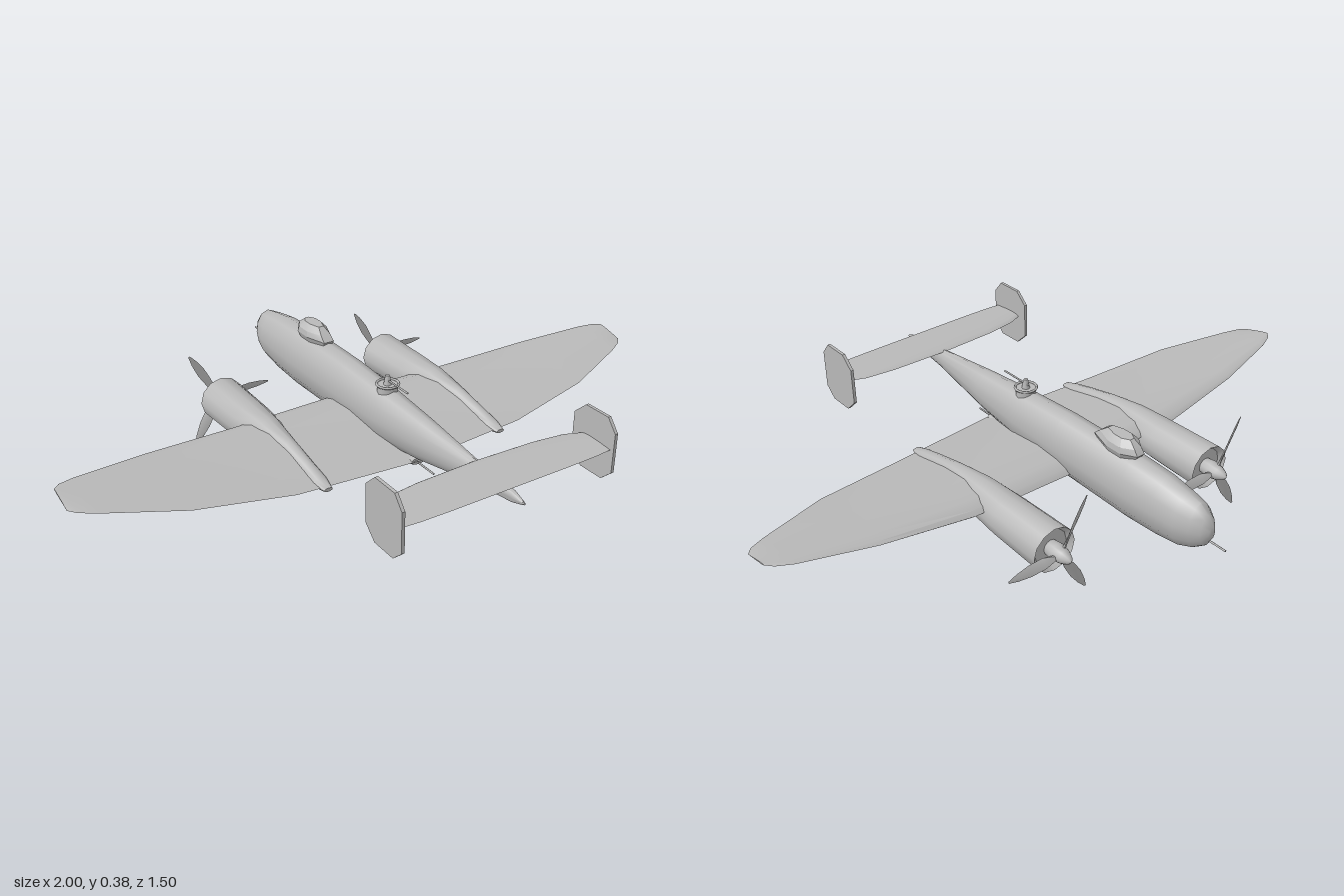
import * as THREE from 'three';
import { toCreasedNormals } from 'three/addons/utils/BufferGeometryUtils.js';

const grey = new THREE.MeshStandardMaterial({ color: 0xb8b8b8 });
grey.name = 'plain grey';

function part(name, geometry, parent, x = 0, y = 0, z = 0) {
  const mesh = new THREE.Mesh(geometry, grey);
  mesh.name = name;
  mesh.position.set(x, y, z);
  parent.add(mesh);
  return mesh;
}

// Skin a list of equal-length rings of [x, y, z] points and cap both ends
function loft(rings, crease = 0.7) {
  const n = rings[0].length, pos = rings.flat(2), idx = [];
  for (let i = 0; i < rings.length - 1; i++) {
    for (let j = 0; j < n; j++) {
      const a = i * n + j, b = i * n + (j + 1) % n;
      idx.push(a, b, b + n, a, b + n, a + n);
    }
  }
  [0, rings.length - 1].forEach((r, end) => {
    const c = pos.length / 3;
    for (let k = 0; k < 3; k++) pos.push(rings[r].reduce((s, p) => s + p[k], 0) / n);
    for (let j = 0; j < n; j++) {
      const a = r * n + j, b = r * n + (j + 1) % n;
      idx.push(...(end ? [a, b, c] : [b, a, c]));
    }
  });
  // Turn the faces outward by the sign of the enclosed volume
  const at = i => new THREE.Vector3().fromArray(pos, i * 3);
  let volume = 0;
  for (let i = 0; i < idx.length; i += 3) volume += at(idx[i]).dot(at(idx[i + 1]).cross(at(idx[i + 2])));
  if (volume < 0) idx.reverse();
  const g = new THREE.BufferGeometry();
  g.setAttribute('position', new THREE.Float32BufferAttribute(pos, 3));
  g.setIndex(idx);
  return toCreasedNormals(g, crease);
}

// Body along z from rows of [z, centre y, half height, half width]
function body(rows, sides) {
  return loft(rows.map(([z, y, h, w]) => Array.from({ length: sides }, (_, j) => {
    const a = j / sides * Math.PI * 2;
    return [Math.sin(a) * w, y + Math.cos(a) * h, z];
  })), 0.85);
}

// Wing section: chord fraction and share of the upper or lower thickness
const foil = [[0, 0], [0.03, 0.4], [0.12, 0.78], [0.33, 1], [0.6, 0.72], [0.82, 0.33],
  [1, 0], [0.8, -0.3], [0.5, -0.75], [0.2, -1], [0.04, -0.5]];

// Wing from half-span rows of [x, leading z, trailing z, y, rise, drop]
function wing(rows, tilt) {
  const mirrored = rows.slice(1).reverse().map(([x, ...rest]) => [-x, ...rest]);
  return loft([...mirrored, ...rows].map(([x, lead, trail, y, up, down]) => foil.map(([t, s]) =>
    [x, y - (t - 0.5) * tilt + s * (s > 0 ? up : down), lead + (trail - lead) * t])), 0.6);
}

function barrel(name, parent, x, y, z, length, radius = 0.003) {
  part(name, new THREE.CylinderGeometry(radius, radius, length, 6), parent, x, y, z).rotation.x = Math.PI / 2;
}

export function createModel() {
  const model = new THREE.Group();
  model.name = 'twinEngineAircraft';

  part('fuselage', body([
    [-0.697, 0.235, 0.02, 0.012], [-0.68, 0.235, 0.05, 0.03], [-0.65, 0.236, 0.074, 0.047],
    [-0.6, 0.231, 0.089, 0.058], [-0.52, 0.233, 0.1, 0.065], [-0.4, 0.233, 0.106, 0.068],
    [-0.1, 0.236, 0.103, 0.066], [0.1, 0.236, 0.092, 0.06], [0.3, 0.242, 0.07, 0.046],
    [0.54, 0.254, 0.035, 0.02], [0.7, 0.26, 0.018, 0.012], [0.74, 0.26, 0.006, 0.004],
  ], 12), model);

  part('mainWing', wing([
    [0, -0.175, 0.275, 0.167, 0.043, 0.025], [0.4, -0.16, 0.243, 0.17, 0.037, 0.025],
    [0.7, -0.125, 0.192, 0.197, 0.021, 0.014], [0.93, -0.075, 0.105, 0.222, 0.01, 0.006],
    [0.98, -0.055, 0.08, 0.228, 0.006, 0.004], [1, -0.035, 0.058, 0.23, 0.003, 0.002],
  ], 0.02), model);

  part('tailplane', wing([
    [0, 0.53, 0.697, 0.285, 0.008, 0.007], [0.2, 0.537, 0.697, 0.285, 0.008, 0.007],
    [0.3, 0.55, 0.695, 0.285, 0.007, 0.006], [0.36, 0.575, 0.69, 0.285, 0.006, 0.005],
  ], 0), model);

  // Eight-sided end fins
  const finShape = new THREE.Shape([[0.537, 0.34], [0.537, 0.22], [0.58, 0.18], [0.665, 0.18],
    [0.703, 0.215], [0.703, 0.34], [0.67, 0.38], [0.58, 0.38]].map(([z, y]) => new THREE.Vector2(-z, y)));
  const finGeometry = new THREE.ExtrudeGeometry(finShape, { depth: 0.01, bevelEnabled: false });
  finGeometry.translate(0, 0, -0.005).rotateY(Math.PI / 2);

  // Engine with a recessed cowling mouth
  const nacelle = body([
    [-0.385, 0.16, 0.058, 0.058], [-0.403, 0.16, 0.072, 0.074], [-0.2, 0.163, 0.068, 0.068],
    [-0.08, 0.165, 0.066, 0.056], [0.05, 0.163, 0.054, 0.034], [0.15, 0.16, 0.036, 0.028],
    [0.22, 0.16, 0.018, 0.024], [0.265, 0.158, 0.006, 0.014],
  ], 12);
  const spinner = new THREE.LatheGeometry([[0, -0.04], [0.022, -0.04], [0.028, 0.01], [0.022, 0.04],
    [0.012, 0.062], [0, 0.072]].map(p => new THREE.Vector2(...p)), 12);
  spinner.rotateX(-Math.PI / 2);

  // Twisted blade pointing along +x
  const blade = loft([[0.015, 0.007, 0.005, 0.9], [0.06, 0.016, 0.003, 0.6], [0.11, 0.017, 0.002, 0.4],
    [0.155, 0.011, 0.0015, 0.3], [0.185, 0.003, 0.001, 0.25]].map(([x, w, t, a]) =>
    [[w, 0], [0, t], [-w, 0], [0, -t]].map(([u, v]) =>
      [x, u * Math.cos(a) - v * Math.sin(a), u * Math.sin(a) + v * Math.cos(a)])));

  for (const [side, s] of [['left', 1], ['right', -1]]) {
    part(side + 'Fin', finGeometry, model, s * 0.358);
    part(side + 'Nacelle', nacelle, model, s * 0.312);
    const propeller = new THREE.Group();
    propeller.name = side + 'Propeller';
    propeller.position.set(s * 0.312, 0.16, -0.403);
    model.add(propeller);
    part('spinner', spinner, propeller);
    for (let i = 0; i < 3; i++) {
      part('blade', blade, propeller, 0, 0, -0.027).rotation.z = i * Math.PI * 2 / 3;
    }
  }

  // Faceted cockpit canopy: rows of [y, front z, rear z, half width]
  const outline = [[0.35, 0], [1, 0.25], [1, 0.6], [0.45, 1], [-0.45, 1], [-1, 0.6], [-1, 0.25], [-0.35, 0]];
  part('canopy', loft([[0.325, -0.4, -0.25, 0.032], [0.345, -0.413, -0.237, 0.04], [0.363, -0.4, -0.258, 0.037],
    [0.382, -0.375, -0.285, 0.02]].map(([y, front, rear, w]) =>
    outline.map(([x, t]) => [x * w, y, front + (rear - front) * t])), 0.3), model);

  // Dorsal gun ring and mount
  part('dorsalRing', new THREE.TorusGeometry(0.034, 0.004, 6, 20), model, 0, 0.34, 0.1).rotation.x = Math.PI / 2;
  part('dorsalCollar', new THREE.CylinderGeometry(0.032, 0.032, 0.03, 16, 1), model, 0, 0.323, 0.1);
  part('dorsalMount', new THREE.CylinderGeometry(0.007, 0.013, 0.03, 8), model, 0, 0.353, 0.1);
  barrel('dorsalGun', model, 0, 0.352, 0.145, 0.12);

  // Belly position, nose gun and tail gun
  part('bellyPosition', body([[0.1, 0.148, 0.012, 0.03], [0.14, 0.144, 0.014, 0.04],
    [0.22, 0.148, 0.014, 0.038], [0.27, 0.156, 0.012, 0.028]], 8), model);
  barrel('bellyGun', model, 0, 0.147, 0.29, 0.11);
  barrel('noseGun', model, 0, 0.206, -0.705, 0.09);
  barrel('tailGun', model, 0, 0.26, 0.73, 0.03, 0.004);

  return model;
}
